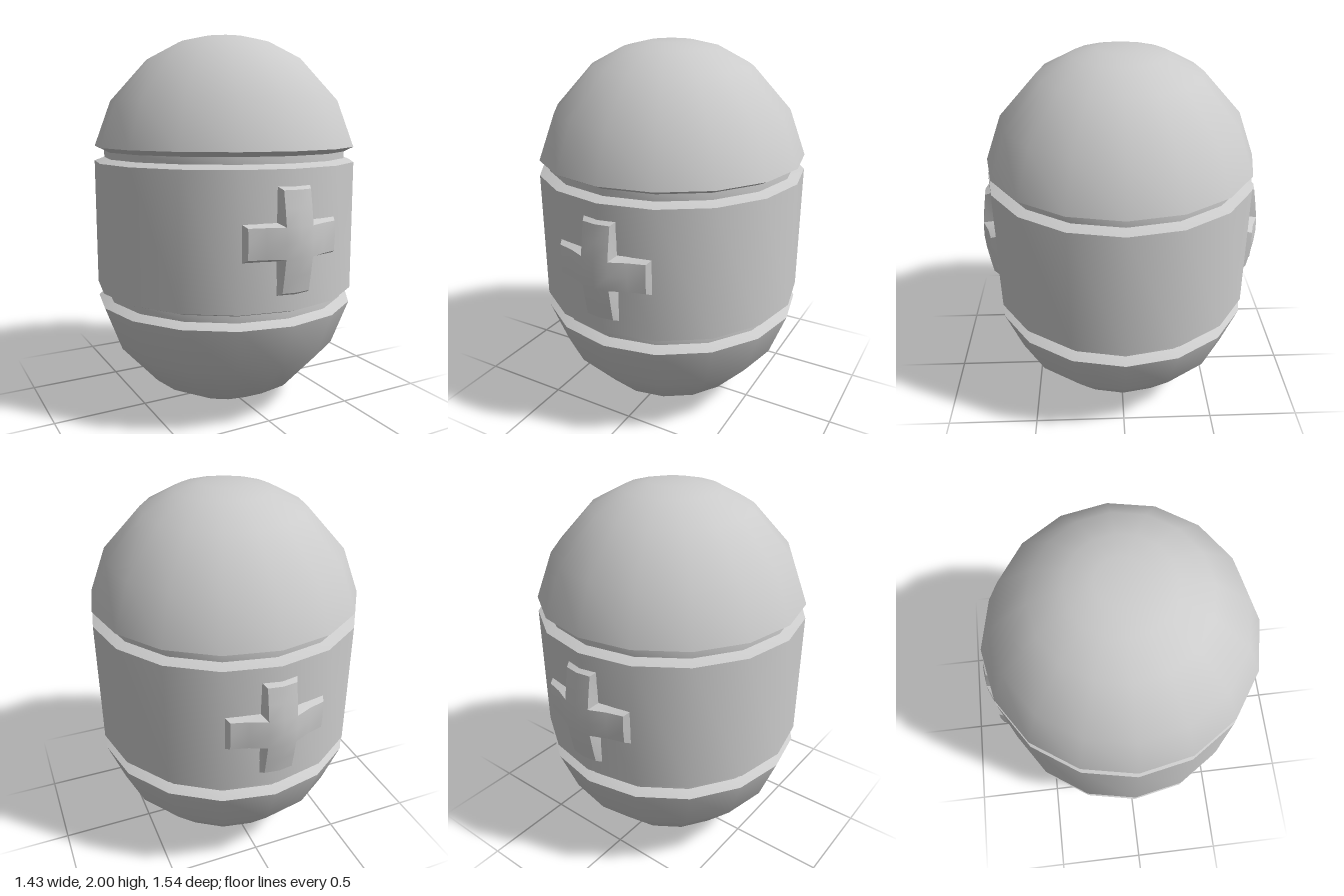
import * as THREE from 'three';
import { toCreasedNormals } from 'three/addons/utils/BufferGeometryUtils.js';

const material = new THREE.MeshStandardMaterial({ color: 0xcccccc });

function lathe(name, profile) {
  const points = profile.map(([r, y]) => new THREE.Vector2(r, y));
  const mesh = new THREE.Mesh(toCreasedNormals(new THREE.LatheGeometry(points, 16), 0.75), material);
  mesh.name = name;
  return mesh;
}

// Flip a bottom-up profile about mid height, keeping it bottom-up
const mirror = (profile) => profile.map(([r, y]) => [r, 2 - y]).reverse();

// Raised cross with sloped sides, its face bulging out and wrapping round the band
function crossGeometry() {
  const arm = 0.245, half = 0.075, mid = 0.16, bevel = 0.02;
  const steps = [-arm, -mid, -half, 0, half, mid, arm];
  const dropX = { 0: 0, [half]: 0.011, [mid]: 0.048, [arm]: 0.072 };
  const dropY = { 0: 0, [half]: 0.005, [mid]: 0.018, [arm]: 0.033 };
  const top = (x, y) => [x, y, 0.768 - dropX[Math.abs(x)] - dropY[Math.abs(y)]];
  const grow = (v) => (Math.abs(v) === mid ? v : v + Math.sign(v) * bevel);
  const base = (x, y) => [grow(x), grow(y), 0.703 - 0.2 * Math.abs(grow(x))];
  const positions = [];
  const quad = (a, b, c, d) => positions.push(...a, ...b, ...c, ...a, ...c, ...d);

  // Face
  for (let i = 0; i < 6; i++) {
    for (let j = 0; j < 6; j++) {
      const inX = i === 2 || i === 3, inY = j === 2 || j === 3;
      if (!inX && !inY) continue;
      const [x0, x1, y0, y1] = [steps[i], steps[i + 1], steps[j], steps[j + 1]];
      quad(top(x0, y0), top(x1, y0), top(x1, y1), top(x0, y1));
    }
  }

  // Sloped sides: a quarter of the outline turned four times
  let quarter = [[arm, -half], [arm, 0], [arm, half], [mid, half], [half, half], [half, mid]];
  const outline = [];
  for (let k = 0; k < 4; k++) {
    outline.push(...quarter);
    quarter = quarter.map(([x, y]) => [-y, x]);
  }
  outline.forEach((p, k) => {
    const q = outline[(k + 1) % outline.length];
    quad(base(...p), base(...q), top(...q), top(...p));
  });

  const geometry = new THREE.BufferGeometry();
  geometry.setAttribute('position', new THREE.Float32BufferAttribute(positions, 3));
  return toCreasedNormals(geometry, 0.5);
}

export function createModel() {
  const group = new THREE.Group();
  group.name = 'capsule';

  // Rounded end caps
  const dome = [[0, 0], [0.12, 0], [0.25, 0.03], [0.42, 0.12], [0.62, 0.34], [0.71, 0.58]];
  group.add(lathe('lowerDome', dome), lathe('upperDome', mirror(dome)));

  // Middle band with a bevelled groove at each end
  const groove = [[0.71, 0.58], [0.66, 0.605], [0.66, 0.64], [0.713, 0.66]];
  group.add(lathe('band', [...groove, ...mirror(groove)]));

  // Crosses on front and back
  const geometry = crossGeometry();
  ['frontCross', 'backCross'].forEach((name, k) => {
    const cross = new THREE.Mesh(geometry, material);
    cross.name = name;
    cross.position.y = 1;
    cross.rotation.y = k * Math.PI;
    group.add(cross);
  });
  return group;
}
